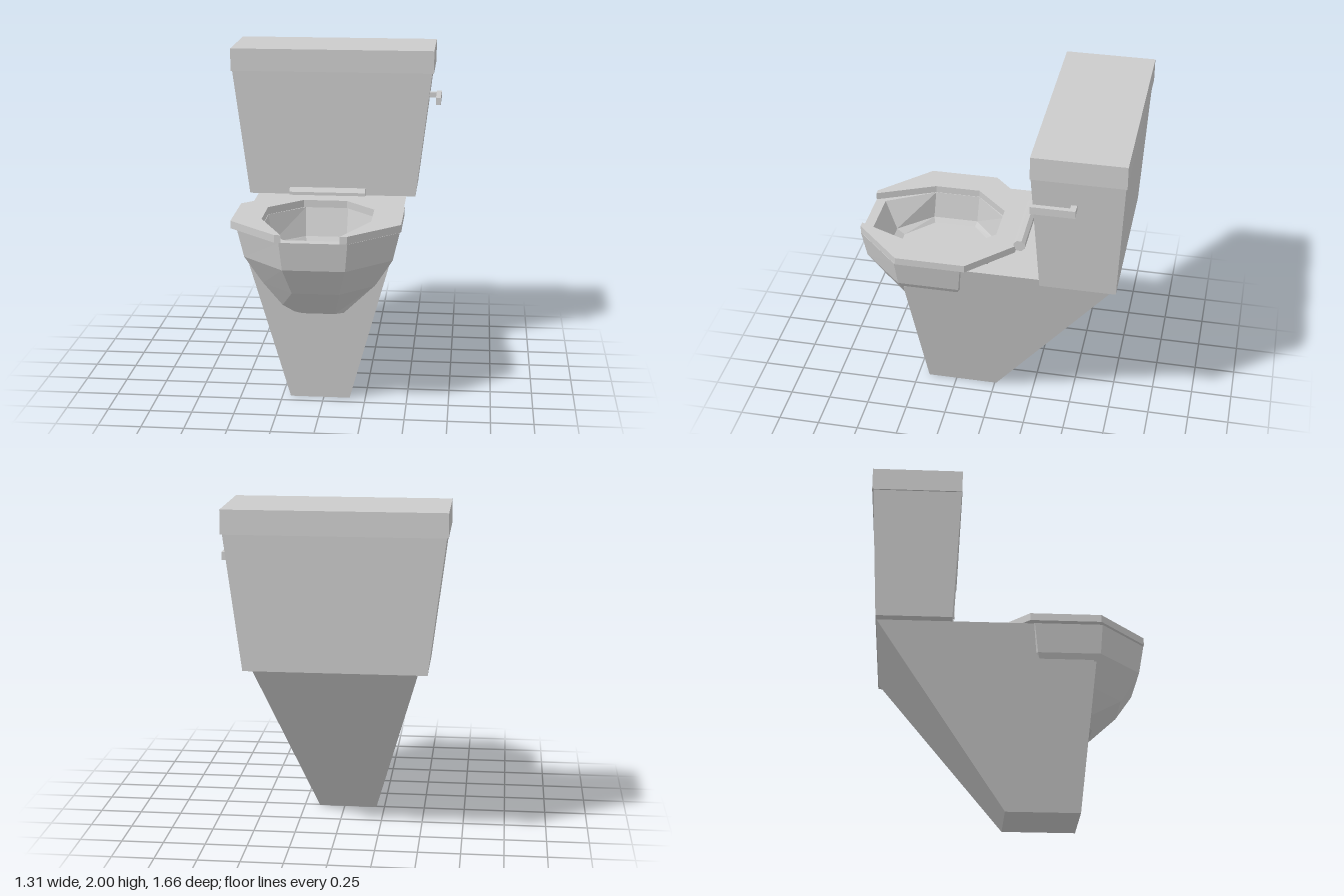
import * as THREE from 'three';

const material = new THREE.MeshStandardMaterial({ color: 0xcccccc, flatShading: true });

// Closed skin through rings of [x, y, z], each counter-clockwise seen from above.
function loft(rings) {
  const pos = [];
  const tri = (a, b, c) => pos.push(...a, ...b, ...c);
  const n = rings[0].length;
  for (let r = 0; r < rings.length - 1; r++) {
    for (let i = 0; i < n; i++) {
      const j = (i + 1) % n, a = rings[r], b = rings[r + 1];
      tri(a[i], a[j], b[j]);
      tri(a[i], b[j], b[i]);
    }
  }
  const first = rings[0], last = rings[rings.length - 1];
  for (let i = 1; i < n - 1; i++) {
    tri(first[0], first[i + 1], first[i]);
    tri(last[0], last[i], last[i + 1]);
  }
  const g = new THREE.BufferGeometry();
  g.setAttribute('position', new THREE.Float32BufferAttribute(pos, 3));
  g.computeVertexNormals();
  return g;
}

const rect = (y, x0, x1, z0, z1) => [[x1, y, z1], [x1, y, z0], [x0, y, z0], [x0, y, z1]];

// Octagon: half width, front half edge and z, side corner z values, back half edge and z.
const octagon = (y, cx, hx, f, zf, sf, sb, b, zb) => [
  [cx + f, y, zf], [cx + hx, y, sf], [cx + hx, y, sb], [cx + b, y, zb],
  [cx - b, y, zb], [cx - hx, y, sb], [cx - hx, y, sf], [cx - f, y, zf],
];

export function createModel() {
  const group = new THREE.Group();
  const add = (name, geometry, x = 0, y = 0, z = 0) => {
    const mesh = new THREE.Mesh(geometry, material);
    mesh.name = name;
    mesh.position.set(x, y, z);
    group.add(mesh);
    return mesh;
  };
  const cx = -0.022;

  // Pedestal: tapered foot, then a rear deck and two cheeks around the basin
  add('pedestal', loft([
    rect(0, cx - 0.178, cx + 0.178, -0.01, 0.43),
    rect(0.86, cx - 0.413, cx + 0.413, -0.629, 0.515),
  ]));
  add('deck', loft([
    rect(0.86, cx - 0.413, cx + 0.413, -0.629, 0),
    rect(1.07, cx - 0.47, cx + 0.47, -0.78, 0),
  ]));
  for (const s of [-1, 1]) {
    const cheek = (y, outer) => {
      const a = cx + s * 0.37, b = cx + s * outer;
      return rect(y, Math.min(a, b), Math.max(a, b), 0, 0.5);
    };
    add(s < 0 ? 'rightCheek' : 'leftCheek', loft([cheek(0.86, 0.413), cheek(1.07, 0.47)]));
  }

  // Bowl: outside from the bottom up, over the rim and down inside to the floor
  add('bowl', loft([
    octagon(0.555, cx, 0.24, 0.095, 0.515, 0.43, 0.28, 0.1, 0.2),
    octagon(0.73, cx, 0.33, 0.138, 0.69, 0.5, 0.22, 0.14, 0.06),
    octagon(0.9, cx, 0.435, 0.18, 0.8, 0.54, 0.17, 0.18, -0.05),
    octagon(1.07, cx, 0.475, 0.195, 0.83, 0.55, 0.15, 0.2, -0.08),
    octagon(1.07, cx, 0.335, 0.175, 0.77, 0.48, 0.2, 0.13, 0),
    octagon(0.9, cx, 0.31, 0.13, 0.69, 0.49, 0.21, 0.125, 0.05),
    octagon(0.87, cx, 0.288, 0.12, 0.64, 0.48, 0.22, 0.12, 0.07),
  ]));

  // Seat: open at the front
  const outline = [
    [0.17, 0.83], [0.46, 0.54], [0.46, 0.12], [0.2, -0.135],
    [-0.27, -0.135], [-0.535, 0.12], [-0.535, 0.54], [-0.24, 0.83],
    [-0.205, 0.83], [-0.36, 0.48], [-0.36, 0.2], [-0.165, 0],
    [0.1, 0], [0.282, 0.2], [0.282, 0.48], [0.13, 0.83],
  ].map(p => new THREE.Vector2(...p));
  const seat = new THREE.ExtrudeGeometry(new THREE.Shape(outline), { depth: 0.045, bevelEnabled: false });
  add('seat', seat.rotateX(Math.PI / 2), 0, 1.115, 0);

  // Hinge bar
  const hinge = new THREE.CylinderGeometry(0.037, 0.037, 0.47, 8);
  hinge.rotateY(Math.PI / 8).rotateZ(Math.PI / 2);
  add('hinge', hinge, -0.035, 1.12, -0.16);

  // Tank and lid
  add('tank', loft([
    rect(1.07, -0.547, 0.505, -0.785, -0.337),
    rect(1.86, -0.645, 0.6, -0.823, -0.293),
  ]));
  add('tankLid', new THREE.BoxGeometry(1.265, 0.14, 0.54), cx, 1.93, -0.56);

  // Flush handle
  add('handleStem', new THREE.BoxGeometry(0.06, 0.032, 0.035), 0.6, 1.687, -0.537);
  add('handleLever', new THREE.BoxGeometry(0.03, 0.046, 0.255), 0.64, 1.687, -0.428);

  return group;
}
